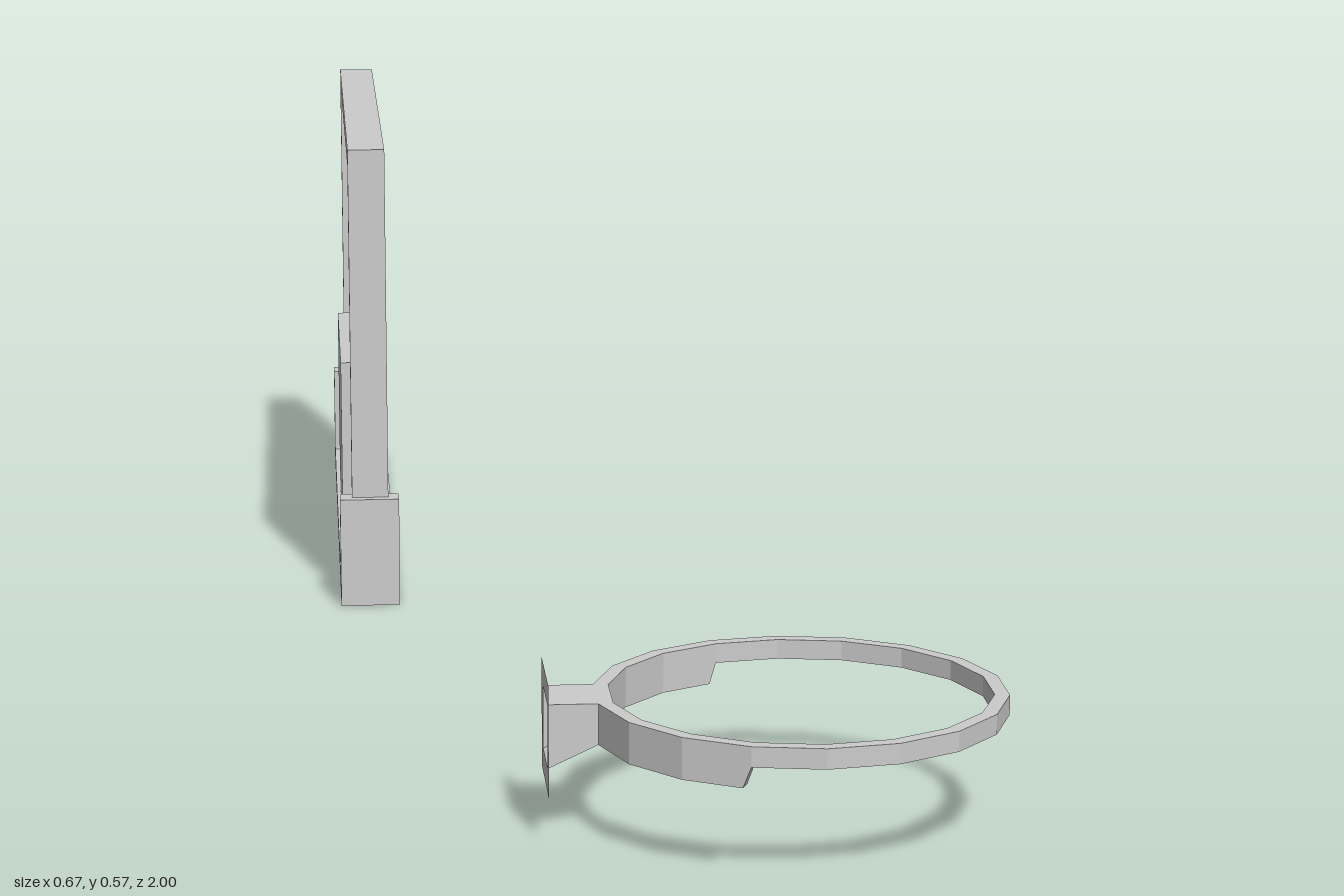
import * as THREE from 'three';

const grey = new THREE.MeshStandardMaterial({ color: 0xcccccc, flatShading: true });
const thin = new THREE.MeshStandardMaterial({ color: 0xcccccc, flatShading: true, side: THREE.DoubleSide });
const red = new THREE.MeshStandardMaterial({ color: 0x9c3f28, flatShading: true });

const BOARD_Z = -0.567;
const RING = { x: 0.1237, z: 0.7875, outer: 0.2125, inner: 0.197, sides: 18 };

function add(group, name, geometry, material) {
  const mesh = new THREE.Mesh(geometry, material);
  mesh.name = name;
  group.add(mesh);
  return mesh;
}

// Box given by its limits on each axis
function box(x0, x1, y0, y1, z0, z1) {
  return new THREE.BoxGeometry(x1 - x0, y1 - y0, z1 - z0)
    .translate((x0 + x1) / 2, (y0 + y1) / 2, (z0 + z1) / 2);
}

// Outline in the side plane, extruded along x and centred on the board
function slab(points, x0, x1) {
  const shape = new THREE.Shape(points.map(([u, y]) => new THREE.Vector2(u, y)));
  return new THREE.ExtrudeGeometry(shape, { depth: x1 - x0, bevelEnabled: false })
    .rotateY(Math.PI / 2).translate(x0, 0, BOARD_Z);
}

// Upside-down (or upright) U outline: outer half width, inner half width, leg end, inner and outer crossbar
function uOutline(wo, wi, yLeg, yIn, yOut) {
  return [[-wo, yLeg], [-wi, yLeg], [-wi, yIn], [wi, yIn], [wi, yLeg], [wo, yLeg], [wo, yOut], [-wo, yOut]];
}

// Flat-faced surface from a list of quads
function quads(list) {
  const pos = [];
  for (const [a, b, c, d] of list) for (const p of [a, b, c, a, c, d]) pos.push(...p);
  const g = new THREE.BufferGeometry();
  g.setAttribute('position', new THREE.Float32BufferAttribute(pos, 3));
  g.computeVertexNormals();
  return g;
}

function buildBoard() {
  const board = new THREE.Group();
  board.name = 'backboard';
  add(board, 'frame', slab(uOutline(0.42, 0.4, 0.135, 0.548, 0.57), -0.32, -0.275), grey);
  add(board, 'bottomPadding', slab(uOutline(0.433, 0.4, 0.135, 0.02, 0), -0.335, -0.262), grey);
  add(board, 'panel', box(-0.3, -0.287, 0.019, 0.549, BOARD_Z - 0.401, BOARD_Z + 0.401), red);
  // Raised target outline on the front of the panel
  add(board, 'targetOutline', slab(uOutline(0.07, 0.057, 0.02, 0.152, 0.165), -0.288, -0.281), red);
  // Back supports
  for (const s of [-1, 1]) {
    const z = BOARD_Z + s * 0.18;
    add(board, 'backBar', box(-0.312, -0.299, 0.02, 0.549, z - 0.012, z + 0.012), grey);
  }
  add(board, 'backPlate', box(-0.33, -0.299, 0.02, 0.26, BOARD_Z - 0.183, BOARD_Z + 0.183), grey);
  return board;
}

function buildHoop() {
  const hoop = new THREE.Group();
  hoop.name = 'hoop';
  const top = 0.14, shallow = 0.119, deep = 0.097;

  // Stations round the ring; the part near the bracket is deeper, with slanted ends
  const stations = [];
  for (let i = 0; i < RING.sides; i++) {
    const isDeep = i > 5 && i < 12;
    if (i === 12) stations.push([i - 0.12, deep]);
    stations.push([i, isDeep ? deep : shallow]);
    if (i === 5) stations.push([i + 0.12, deep]);
  }
  // Point on the polygon with a vertex radius r, at a fractional corner number
  const point = (t, r, y) => {
    const k = Math.floor(t), f = t - k;
    const at = n => ((n + 0.5) * 2 * Math.PI) / RING.sides;
    const mix = fn => fn(at(k)) * (1 - f) + fn(at(k + 1)) * f;
    return [RING.x + r * mix(Math.cos), y, RING.z + r * mix(Math.sin)];
  };
  const section = ([t, y]) => [
    point(t, RING.outer, y), point(t, RING.outer, top),
    point(t, RING.inner, top), point(t, RING.inner, y),
  ];
  const faces = [];
  stations.forEach((s, i) => {
    const a = section(s), b = section(stations[(i + 1) % stations.length]);
    for (let j = 0; j < 4; j++) {
      const k = (j + 1) % 4;
      faces.push([a[j], a[k], b[k], b[j]]);
    }
  });
  add(hoop, 'ring', quads(faces), grey);

  // Hollow bracket as wide as one side of the ring
  const half = RING.outer * Math.sin(Math.PI / RING.sides);
  const xRing = RING.x - RING.outer * Math.cos(Math.PI / RING.sides);
  const xBack = -0.137, low = 0.073;
  const loop = (x, y) => [
    [x, y, RING.z - half], [x, y, RING.z + half],
    [x, top, RING.z + half], [x, top, RING.z - half],
  ];
  const a = loop(xBack, low), b = loop(xRing, deep);
  add(hoop, 'bracket', quads(a.map((p, j) => {
    const k = (j + 1) % 4;
    return [p, b[j], b[k], a[k]];
  })), thin);

  // Thin mounting plate with an opening behind the bracket
  const yMid = 0.1065, r = 0.058;
  const plate = new THREE.Shape([[-r, -r], [r, -r], [r, r], [-r, r]].map(p => new THREE.Vector2(...p)));
  plate.holes.push(new THREE.Path(
    [[-half, low - yMid], [-half, top - yMid], [half, top - yMid], [half, low - yMid]].map(p => new THREE.Vector2(...p))));
  add(hoop, 'mountingPlate', new THREE.ShapeGeometry(plate).rotateY(Math.PI / 2).translate(xBack, yMid, RING.z), thin);
  return hoop;
}

export function createModel() {
  const model = new THREE.Group();
  model.name = 'backboardAndHoop';
  model.add(buildBoard(), buildHoop());
  return model;
}
